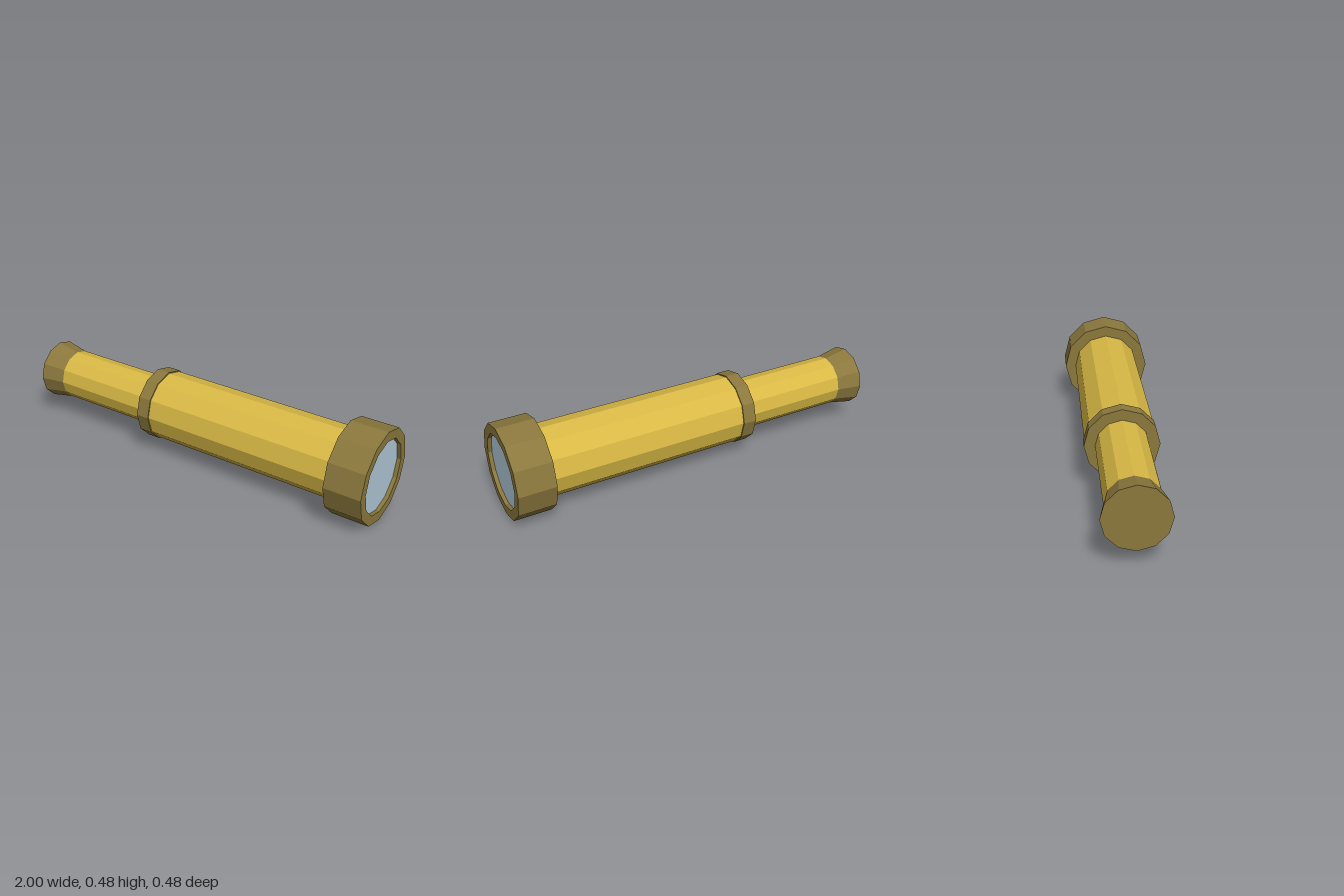
import * as THREE from 'three';

const SIDES = 12;
const AXIS_Y = 0.24;

const material = (color) => new THREE.MeshStandardMaterial({ color, flatShading: true });

export function createModel() {
  const group = new THREE.Group();
  group.name = 'spyglass';
  const brass = material(0xd9b945);
  const bronze = material(0x8b783d);
  const glass = material(0xb0c8d8);

  // Adds a faceted part turned around the x axis from [x, radius] points, left to right
  function turned(name, profile, mat) {
    const points = profile.map(([x, r]) => new THREE.Vector2(r, x));
    const geometry = new THREE.LatheGeometry(points, SIDES);
    geometry.rotateZ(-Math.PI / 2);
    const mesh = new THREE.Mesh(geometry, mat);
    mesh.name = name;
    mesh.position.y = AXIS_Y;
    group.add(mesh);
  }

  // Flared eyepiece with a closed end
  turned('eyepiece', [[-1, 0], [-1, 0.157], [-0.87, 0.132], [-0.87, 0]], bronze);

  // Two telescoping tubes
  turned('drawTube', [[-0.87, 0.132], [-0.28, 0.132]], brass);
  turned('mainTube', [[-0.25, 0], [-0.25, 0.181], [0.83, 0.181]], brass);

  // Collar where the tubes meet
  turned('collar', [[-0.3, 0], [-0.3, 0.187], [-0.23, 0.187], [-0.23, 0]], bronze);

  // Wide front rim with a shallow recess holding the lens
  turned('lensRim', [[0.81, 0], [0.81, 0.239], [1, 0.239], [1, 0.189], [0.975, 0.189]], bronze);
  turned('lens', [[0.98, 0.189], [0.98, 0]], glass);

  return group;
}
